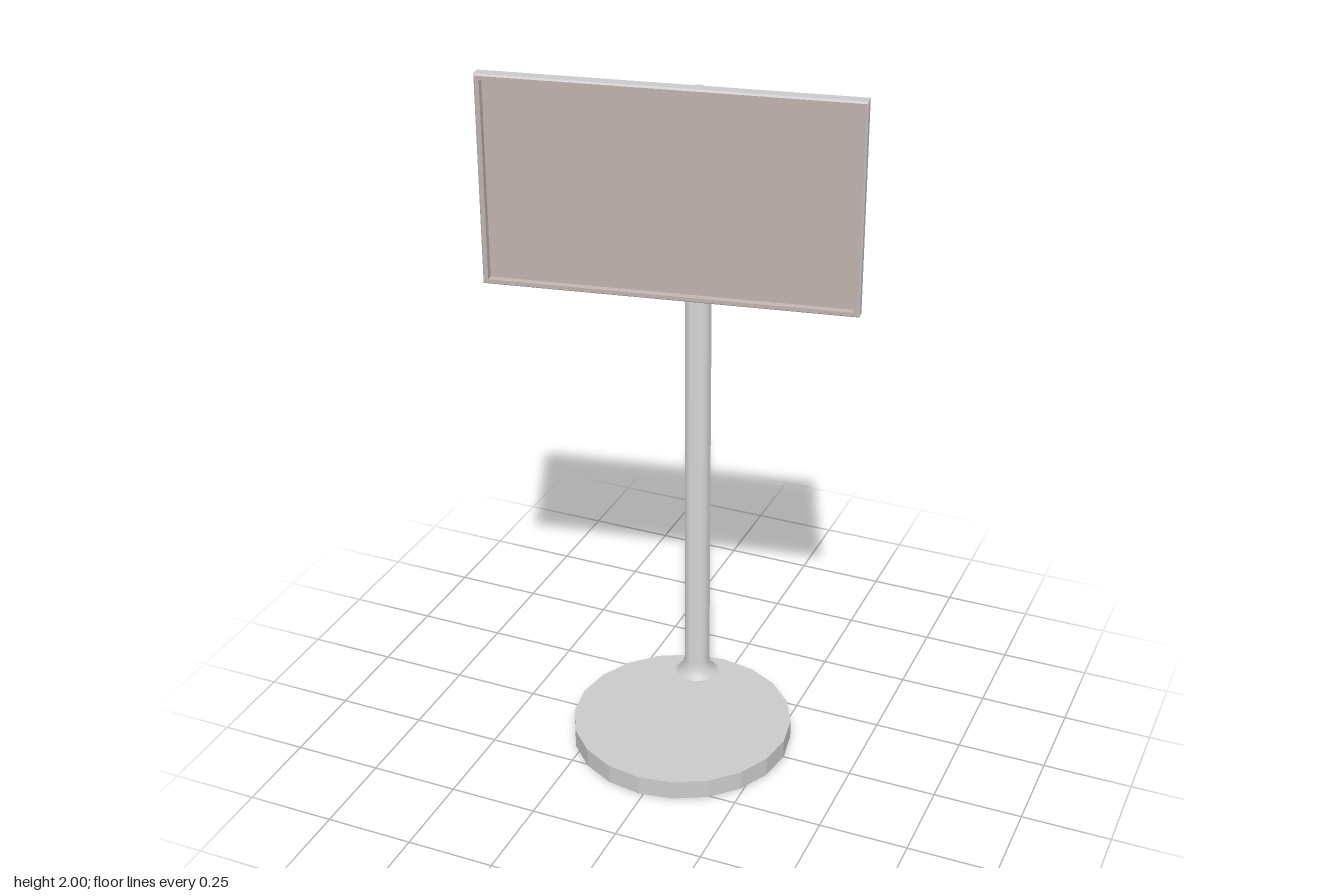
import * as THREE from 'three';
import { toCreasedNormals } from 'three/addons/utils/BufferGeometryUtils.js';

const grey = new THREE.MeshStandardMaterial({ color: 0xcccccc });
const flatGrey = new THREE.MeshStandardMaterial({ color: 0xcccccc, flatShading: true });
const screenTone = new THREE.MeshStandardMaterial({ color: 0xbfb2ae });

function part(name, geometry, material, parent) {
  const mesh = new THREE.Mesh(geometry, material);
  mesh.name = name;
  parent.add(mesh);
  return mesh;
}

function lathe(points, sides) {
  const profile = points.map(([r, y]) => new THREE.Vector2(r, y));
  return toCreasedNormals(new THREE.LatheGeometry(profile, sides), 0.6);
}

// Skin through rectangular sections [halfWidth, halfHeight, z], ordered back to front
function rectLoft(sections, capBack, capFront) {
  const rings = sections.map(([w, h, z]) => [[-w, -h, z], [w, -h, z], [w, h, z], [-w, h, z]]);
  const positions = [];
  const quad = (a, b, c, d) => positions.push(...a, ...b, ...c, ...a, ...c, ...d);
  for (let i = 0; i + 1 < rings.length; i++) {
    const a = rings[i], b = rings[i + 1];
    for (let j = 0; j < 4; j++) {
      const k = (j + 1) % 4;
      quad(a[j], a[k], b[k], b[j]);
    }
  }
  if (capBack) quad(...[...rings[0]].reverse());
  if (capFront) quad(...rings[rings.length - 1]);
  const geometry = new THREE.BufferGeometry();
  geometry.setAttribute('position', new THREE.Float32BufferAttribute(positions, 3));
  geometry.computeVertexNormals();
  return geometry;
}

export function createModel() {
  const model = new THREE.Group();
  model.name = 'displayOnStand';

  // Round foot
  const base = part('base', new THREE.CylinderGeometry(0.315, 0.315, 0.056, 20), flatGrey, model);
  base.position.set(-0.014, 0.028, 0);

  // Pole with a flared collar and a thinner rounded tip
  const pole = part('pole', lathe([
    [0.065, 0.054], [0.05, 0.066], [0.043, 0.08], [0.037, 0.1], [0.037, 1.72],
    [0.027, 1.745], [0.027, 1.86], [0.024, 1.874], [0.017, 1.881], [0, 1.881],
  ], 24), grey, model);
  pole.position.set(-0.065, 0, -0.235);

  // Sloping arm from the pole to the mount
  const start = new THREE.Vector3(-0.06, 1.648, -0.21);
  const end = new THREE.Vector3(-0.014, 1.71, 0.04);
  const axis = end.clone().sub(start);
  const arm = part('arm', new THREE.CapsuleGeometry(0.022, axis.length(), 4, 16), grey, model);
  arm.position.copy(start).add(end).multiplyScalar(0.5);
  arm.quaternion.setFromUnitVectors(new THREE.Vector3(0, 1, 0), axis.normalize());

  // Turned display head
  const head = new THREE.Group();
  head.name = 'displayHead';
  head.rotation.y = 0.18;
  model.add(head);
  const panel = new THREE.Group();
  panel.name = 'panel';
  panel.position.set(-0.021, 1.718, 0);
  head.add(panel);

  // Housing with a bevelled back
  part('housing', rectLoft([
    [0.407, 0.207, 0.06], [0.491, 0.282, 0.092], [0.491, 0.282, 0.122], [0.487, 0.278, 0.128],
  ], true, false), grey, panel);

  // Rim and recessed screen
  part('screen', rectLoft([
    [0.487, 0.278, 0.128], [0.476, 0.268, 0.128], [0.474, 0.266, 0.113],
  ], false, true), screenTone, panel);

  // Domed mount on the back
  const dome = lathe([[0.112, 0], [0.088, 0.031], [0.053, 0.046], [0, 0.049]], 16);
  dome.rotateX(-Math.PI / 2);
  part('mount', dome, grey, panel).position.z = 0.062;

  return model;
}
